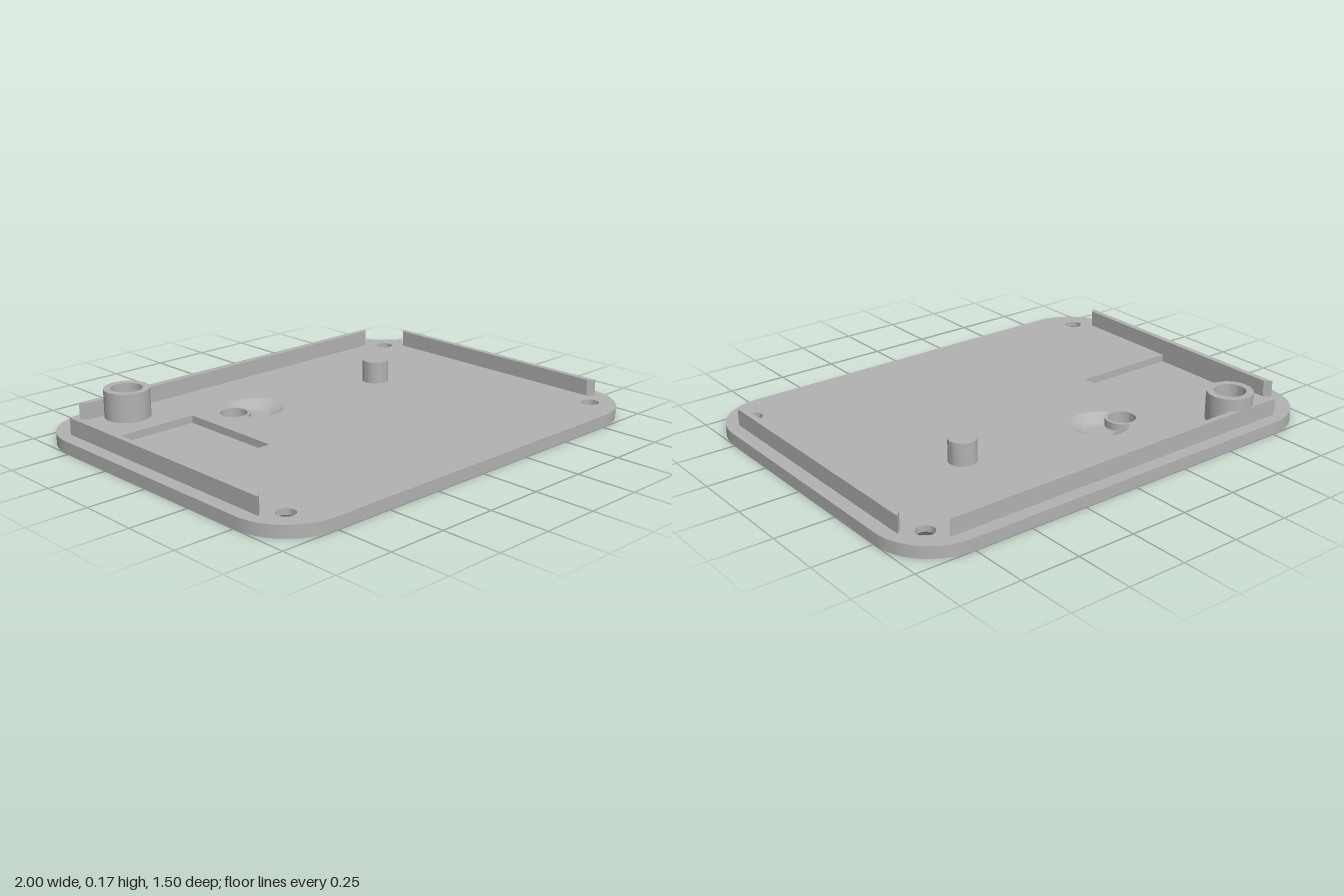
import * as THREE from 'three';
import { toCreasedNormals } from 'three/addons/utils/BufferGeometryUtils.js';

const TOP = 0.05;                                   // upper face of the plate
const FLOOR = 0.018;                                // pocket and dish floor
const DISH = { x: -0.2, z: -0.32, r: 0.12, flat: 0.06 };
const PORT = { x: -0.31, z: -0.33, r: 0.057, collar: 0.07 };
const POCKET = { x0: -0.92, x1: -0.455, z0: -0.42, z1: 0.06 };
const SCREW = { x: 0.855, z: 0.605, r: 0.037, sink: 0.06 };

export function createModel() {
  const grey = new THREE.MeshStandardMaterial({ color: 0xb2b2b2 });
  grey.name = 'grey';
  const model = new THREE.Group();
  model.name = 'coverPlate';

  const add = (name, geometry, x = 0, y = 0, z = 0) => {
    const mesh = new THREE.Mesh(geometry, grey);
    mesh.name = name;
    mesh.position.set(x, y, z);
    model.add(mesh);
    return mesh;
  };
  // Profile going up faces outward, going down faces inward
  const lathe = (points) => toCreasedNormals(
    new THREE.LatheGeometry(points.map(([r, y]) => new THREE.Vector2(r, y)), 48), 0.5);

  // Rounded rectangle outline
  const outline = () => {
    const w = 1, h = 0.75, r = 0.24;
    const s = new THREE.Shape();
    s.absarc(w - r, h - r, r, 0, Math.PI / 2);
    s.absarc(-w + r, h - r, r, Math.PI / 2, Math.PI);
    s.absarc(-w + r, -h + r, r, Math.PI, Math.PI * 1.5);
    s.absarc(w - r, -h + r, r, Math.PI * 1.5, Math.PI * 2);
    return s;
  };
  const circle = (x, z, r, n = 48) => Array.from({ length: n }, (_, i) => {
    const a = (i / n) * Math.PI * 2;
    return [x + r * Math.cos(a), z + r * Math.sin(a)];
  });
  // Keeps the dish clear of the collar around the port
  const clearCollar = ([x, z]) => {
    const dz = z - PORT.z;
    if (Math.abs(dz) >= PORT.collar) return [x, z];
    return [Math.max(x, PORT.x + Math.sqrt(PORT.collar ** 2 - dz ** 2)), z];
  };
  const screwSpots = [];
  for (const sx of [-1, 1]) for (const sz of [-1, 1]) screwSpots.push([sx * SCREW.x, sz * SCREW.z]);

  // Flat plate face with holes given in x, z; up = 1 or -1
  const face = (holes, up) => {
    const s = outline();
    for (const h of holes) s.holes.push(new THREE.Path(h.map(([x, z]) => new THREE.Vector2(x, -up * z))));
    return new THREE.ShapeGeometry(s, 16).rotateX(-up * Math.PI / 2);
  };
  const { x0, x1, z0, z1 } = POCKET;
  const portHole = circle(PORT.x, PORT.z, PORT.r);
  add('plateTop', face([
    ...screwSpots.map(([x, z]) => circle(x, z, SCREW.r)),
    portHole,
    circle(DISH.x, DISH.z, DISH.r, 96).map(clearCollar),
    [[x0, z0], [x1, z0], [x1, z1], [x0, z1]],
  ], 1), 0, TOP, 0);
  add('plateBottom', face([
    ...screwSpots.map(([x, z]) => circle(x, z, SCREW.sink)),
    portHole,
  ], -1));

  // Rim: only the side walls of an extruded outline
  const solid = new THREE.ExtrudeGeometry(outline(), { depth: TOP, bevelEnabled: false, curveSegments: 16 });
  const side = solid.groups[1];
  const rim = new THREE.BufferGeometry();
  rim.setAttribute('position', new THREE.BufferAttribute(
    solid.attributes.position.array.slice(side.start * 3, (side.start + side.count) * 3), 3));
  add('plateRim', toCreasedNormals(rim.rotateX(-Math.PI / 2), 0.5));

  // Countersunk screw holes
  for (const [x, z] of screwSpots) {
    add('screwHole', lathe([[SCREW.r, TOP], [SCREW.r, 0.025], [SCREW.sink, 0]]), x, 0, z);
  }

  // Through port with its collar
  add('portWall', lathe([[PORT.r, TOP], [PORT.r, 0]]), PORT.x, 0, PORT.z);
  add('portCollar', lathe([[PORT.collar, 0.012], [PORT.collar, TOP]]), PORT.x, 0, PORT.z);

  // Shallow dish: a disc pressed down by its distance from the centre
  const dish = new THREE.RingGeometry(0.001, DISH.r, 96, 12).rotateX(-Math.PI / 2);
  const p = dish.attributes.position;
  for (let i = 0; i < p.count; i++) {
    const [x, z] = clearCollar([p.getX(i) + DISH.x, p.getZ(i) + DISH.z]);
    const d = Math.hypot(x - DISH.x, z - DISH.z);
    const t = THREE.MathUtils.clamp((DISH.r - d) / (DISH.r - DISH.flat), 0, 1);
    p.setXYZ(i, x, TOP - (TOP - FLOOR) * t, z);
  }
  dish.computeVertexNormals();
  add('dish', dish);

  // Rectangular pocket: an inside-out box without its lid
  const pocket = new THREE.BoxGeometry(x1 - x0, TOP - FLOOR, z1 - z0);
  const corners = Array.from(pocket.index.array);
  corners.splice(12, 6);
  pocket.setIndex(corners.reverse());
  pocket.clearGroups();
  pocket.computeVertexNormals();
  add('pocket', pocket, (x0 + x1) / 2, (TOP + FLOOR) / 2, (z0 + z1) / 2);

  // Locating rails with mitred ends, longer on the outer side
  const rail = (half) => {
    const s = new THREE.Shape([[-half, 0.0125], [-half + 0.025, -0.0125], [half - 0.025, -0.0125], [half, 0.0125]]
      .map(([x, y]) => new THREE.Vector2(x, y)));
    return new THREE.ExtrudeGeometry(s, { depth: 0.07, bevelEnabled: false }).rotateX(-Math.PI / 2);
  };
  add('backRail', rail(0.815), 0, TOP, -0.681);
  add('rightRail', rail(0.565), -0.93, TOP, 0).rotation.y = Math.PI / 2;
  add('leftRail', rail(0.565), 0.93, TOP, 0).rotation.y = -Math.PI / 2;

  // Hollow boss and solid pin
  add('boss', lathe([[0.095, TOP], [0.095, 0.17], [0.065, 0.17], [0.065, TOP]]), -0.645, 0, -0.6);
  add('pin', lathe([[0.057, TOP], [0.057, 0.145], [0, 0.145]]), 0.43, 0, -0.245);

  return model;
}
